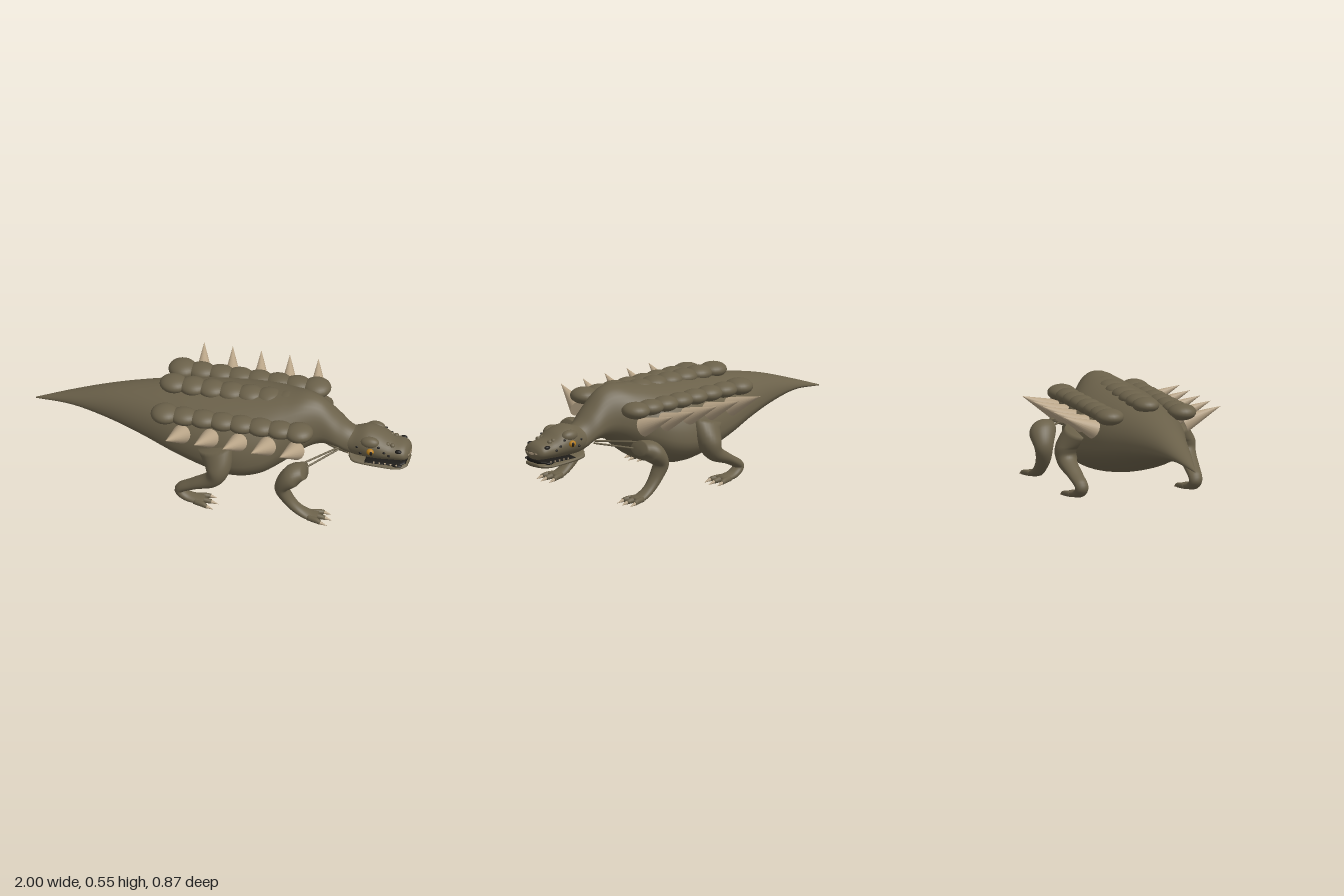
import * as THREE from 'three';

const paint = (name, color) => {
  const m = new THREE.MeshStandardMaterial({ color });
  m.name = name;
  return m;
};

export function createModel() {
  const hide = paint('olive hide', 0x6b614a);
  const horn = paint('pale horn', 0xb8a487);
  const amber = paint('amber eye', 0xb67d1c);
  const dark = paint('dark spots', 0x1d1b18);
  const model = new THREE.Group();
  model.name = 'armouredReptile';

  const add = (name, geometry, material, parent = model) => {
    const mesh = new THREE.Mesh(geometry, material);
    mesh.name = name;
    parent.add(mesh);
    return mesh;
  };

  // Smooth skin over stations [x, y, z, up, down, side]; rings stay vertical when upright
  function sweep(stations, upright, steps = 6, sides = 28) {
    const path = new THREE.CatmullRomCurve3(stations.map(s => new THREE.Vector3(s[0], s[1], s[2])), false, 'catmullrom');
    const size = new THREE.CatmullRomCurve3(stations.map(s => new THREE.Vector3(s[3], s[4], s[5])), false, 'catmullrom');
    const n = (stations.length - 1) * steps;
    const pos = [], index = [];
    for (let i = -1; i <= n + 1; i++) {
      const t = Math.min(Math.max(i / n, 0), 1);
      const c = path.getPoint(t), r = size.getPoint(t);
      const d = path.getTangent(t).setZ(0).normalize();
      const nx = upright ? 0 : -d.y, ny = upright ? 1 : d.x;
      const closed = i < 0 || i > n ? 0 : 1; // end rings shrink to a point
      for (let j = 0; j < sides; j++) {
        const a = j / sides * Math.PI * 2;
        const h = Math.sin(a) * (Math.sin(a) > 0 ? r.x : r.y) * closed;
        pos.push(c.x + nx * h, c.y + ny * h, c.z + Math.cos(a) * r.z * closed);
        if (i <= n) {
          const row = (i + 1) * sides, k = (j + 1) % sides;
          const p = row + j, q = row + k;
          index.push(p, p + sides, q, p + sides, q + sides, q);
        }
      }
    }
    const g = new THREE.BufferGeometry();
    g.setAttribute('position', new THREE.Float32BufferAttribute(pos, 3));
    g.setIndex(index);
    g.computeVertexNormals();
    return g;
  }

  // Profile rows [x, top, bottom, halfWidth], widest at a share of the height
  const hull = (rows, share) => sweep(rows.map(([x, top, low, w]) => {
    const h = top - low;
    return [x, low + h * share, 0, h * (1 - share), h * share, w];
  }), true, 6, 36);

  const blob = (name, x, y, z, rx, ry, rz, material, parent) => {
    const mesh = add(name, new THREE.SphereGeometry(1, 24, 16), material, parent);
    mesh.position.set(x, y, z);
    mesh.scale.set(rx, ry, rz);
    return mesh;
  };

  const cone = (name, from, to, r, parent) => {
    const a = new THREE.Vector3(...from), b = new THREE.Vector3(...to);
    const dir = b.clone().sub(a), len = dir.length();
    const mesh = add(name, new THREE.ConeGeometry(r, len, 20), horn, parent);
    mesh.position.copy(a).add(b).multiplyScalar(0.5);
    mesh.quaternion.setFromUnitVectors(new THREE.Vector3(0, 1, 0), dir.normalize());
  };

  // Tail, trunk and neck in one skin
  add('body', hull([
    [-1, 0.288, 0.282, 0.003], [-0.8, 0.36, 0.298, 0.055], [-0.6, 0.425, 0.265, 0.11],
    [-0.4, 0.468, 0.213, 0.175], [-0.2, 0.495, 0.152, 0.245], [0, 0.512, 0.103, 0.295],
    [0.13, 0.522, 0.09, 0.305], [0.25, 0.533, 0.115, 0.275], [0.35, 0.545, 0.175, 0.215],
    [0.45, 0.556, 0.25, 0.145], [0.53, 0.53, 0.283, 0.105], [0.61, 0.455, 0.28, 0.095],
    [0.67, 0.40, 0.25, 0.08], [0.73, 0.37, 0.24, 0.075],
  ], 0.37), hide);

  // Head
  const head = new THREE.Group();
  head.name = 'head';
  model.add(head);
  add('skull', hull([
    [0.65, 0.385, 0.26, 0.07], [0.7, 0.384, 0.24, 0.083], [0.77, 0.402, 0.238, 0.1],
    [0.84, 0.384, 0.24, 0.1], [0.9, 0.35, 0.243, 0.086], [0.96, 0.337, 0.246, 0.078],
    [0.985, 0.32, 0.252, 0.06], [0.998, 0.295, 0.268, 0.025],
  ], 0.5), hide, head);
  add('lowerJaw', hull([
    [0.68, 0.265, 0.222, 0.06], [0.72, 0.252, 0.207, 0.088], [0.9, 0.234, 0.2, 0.088],
    [0.96, 0.235, 0.204, 0.078], [0.988, 0.23, 0.212, 0.05],
  ], 0.5), hide, head);
  add('mouth', hull([
    [0.77, 0.247, 0.23, 0.09], [0.88, 0.251, 0.228, 0.088], [0.95, 0.251, 0.229, 0.08],
    [0.98, 0.25, 0.23, 0.055],
  ], 0.5), dark, head);
  blob('beak', 0.968, 0.285, 0, 0.032, 0.023, 0.068, horn, head);
  for (const s of [1, -1]) {
    blob('brow', 0.795, 0.357, s * 0.07, 0.05, 0.03, 0.032, hide, head);
    blob('eye', 0.805, 0.322, s * 0.105, 0.02, 0.018, 0.016, amber, head);
    blob('pupil', 0.812, 0.322, s * 0.118, 0.008, 0.012, 0.005, dark, head);
    blob('nostril', 0.945, 0.318, s * 0.066, 0.018, 0.01, 0.012, dark, head);
    blob('jawSpot', 0.94, 0.238, s * 0.08, 0.028, 0.008, 0.012, dark, head);
    for (const [x, y, z] of [[0.73, 0.33, 0.088], [0.75, 0.3, 0.096], [0.845, 0.345, 0.09], [0.875, 0.318, 0.093], [0.9, 0.3, 0.089]])
      blob('cheekSpot', x, y, s * z, 0.008, 0.006, 0.006, dark, head);
    for (const x of [0.86, 0.885, 0.91])
      blob('snoutBump', x, 0.452 - 0.112 * x / 0.9, s * 0.045, 0.013, 0.012, 0.013, hide, head);
    for (let i = 0; i < 5; i++)
      cone('tooth', [0.82 + i * 0.03, 0.248, s * 0.089], [0.82 + i * 0.03, 0.234, s * 0.09], 0.005, head);
  }

  // Three rows of rounded back armour
  const armour = new THREE.Group();
  armour.name = 'backArmour';
  model.add(armour);
  for (let i = 0; i < 8; i++) {
    const x = -0.265 + i * 0.102, end = i === 0 || i === 7;
    for (const s of [1, -1])
      blob('sidePlate', x, 0.455, s * 0.2, 0.075, end ? 0.043 : 0.04, end ? 0.075 : 0.065, hide, armour);
    if (i < 7) blob('ridgePlate', x, 0.505, 0, 0.075, 0.04, 0.07, hide, armour);
  }

  // Legs as [x, y, z, inPlaneRadius, sideRadius], hip to foot
  const legs = {
    frontLeg: [
      [0.5, 0.278, 0.28, 0.038, 0.06], [0.44, 0.255, 0.308, 0.056, 0.073],
      [0.387, 0.19, 0.322, 0.038, 0.052], [0.41, 0.12, 0.315, 0.031, 0.041],
      [0.46, 0.06, 0.315, 0.025, 0.035], [0.52, 0.026, 0.315, 0.02, 0.04],
      [0.575, 0.02, 0.315, 0.014, 0.045],
    ],
    hindLeg: [
      [0.02, 0.34, 0.25, 0.1, 0.08], [0.045, 0.25, 0.308, 0.068, 0.075],
      [0.02, 0.178, 0.328, 0.045, 0.053], [-0.08, 0.125, 0.322, 0.028, 0.042],
      [-0.16, 0.075, 0.315, 0.025, 0.036], [-0.12, 0.033, 0.315, 0.022, 0.036],
      [-0.03, 0.021, 0.315, 0.015, 0.045],
    ],
  };
  for (const s of [1, -1]) {
    for (const [name, rows] of Object.entries(legs)) {
      const leg = new THREE.Group();
      leg.name = name;
      model.add(leg);
      add('limb', sweep(rows.map(([x, y, z, r, w]) => [x, y, s * z, r, r, w]), false), hide, leg);
      const [x, , z] = rows[rows.length - 1];
      for (const k of [-1, 0, 1]) {
        const tx = x + (k ? 0.025 : 0.04), tz = s * z + k * 0.046;
        add('toe', sweep([
          [x - 0.05, 0.022, s * z + k * 0.025, 0.015, 0.015, 0.015],
          [x, 0.02, s * z + k * 0.038, 0.015, 0.015, 0.015],
          [tx, 0.016, tz, 0.011, 0.011, 0.012],
        ], false, 4, 14), hide, leg);
        cone('claw', [tx - 0.006, 0.016, tz], [tx + 0.038, 0.004, tz + k * 0.004], 0.011, leg);
      }
    }

    // Flank spikes swept up and slightly back
    for (let i = 0; i < 5; i++) {
      const x = -0.165 + i * 0.152;
      cone('flankSpike', [x, 0.375, s * 0.25], [x - 0.042, 0.46, s * 0.437], 0.05);
    }

    // Thin tendons from shoulder to neck
    for (const [y0, y1] of [[0.305, 0.3], [0.268, 0.288]]) {
      const line = new THREE.LineCurve3(new THREE.Vector3(0.49, y0, s * 0.25), new THREE.Vector3(0.63, y1, s * 0.075));
      add('tendon', new THREE.TubeGeometry(line, 1, 0.005, 8), hide);
    }
  }
  return model;
}
